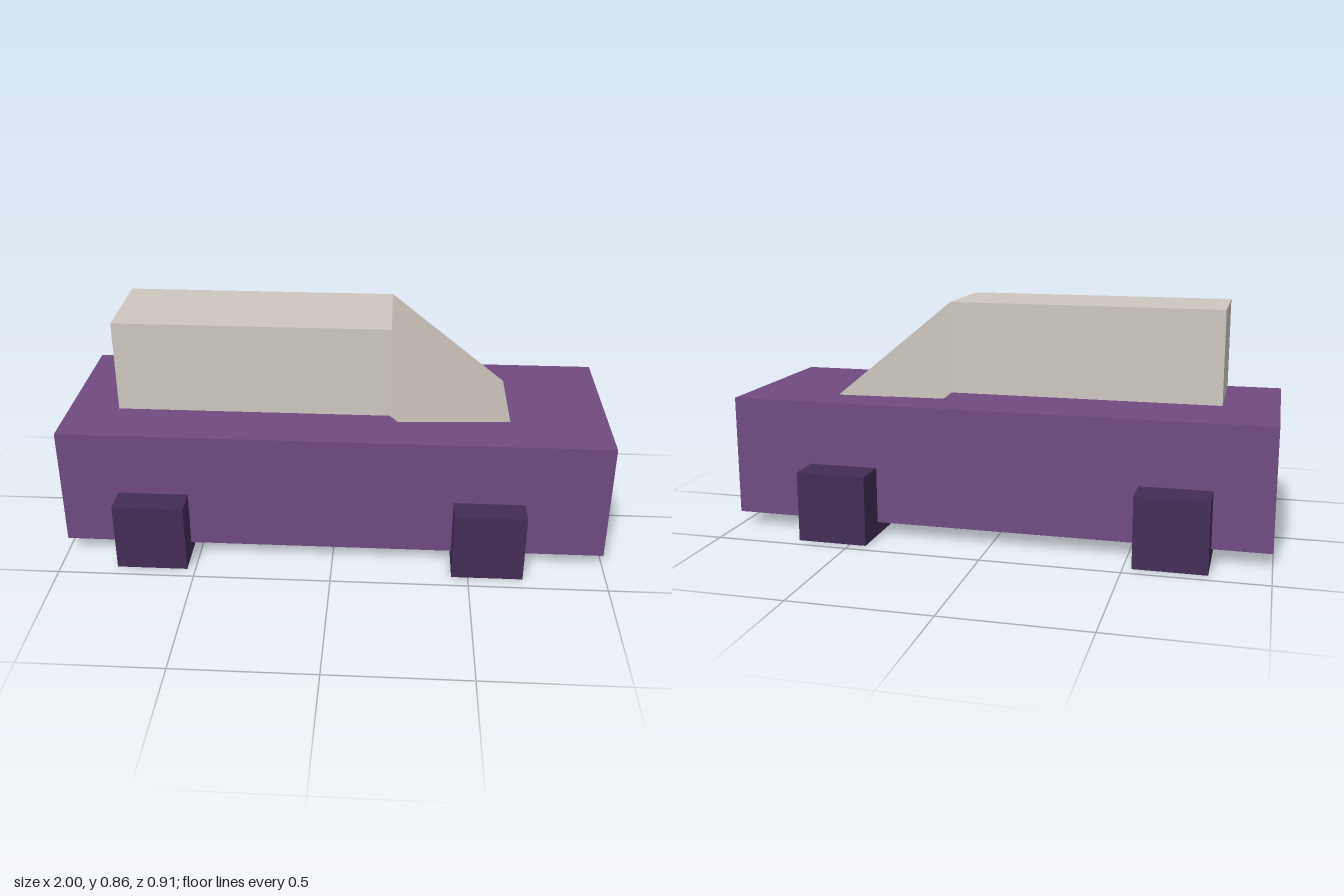
import * as THREE from 'three';

const flat = (name, color) => {
  const m = new THREE.MeshStandardMaterial({ color });
  m.name = name;
  return m;
};

// Box given by its lower and upper corners
function block(name, material, [x0, y0, z0], [x1, y1, z1]) {
  const mesh = new THREE.Mesh(new THREE.BoxGeometry(x1 - x0, y1 - y0, z1 - z0), material);
  mesh.position.set((x0 + x1) / 2, (y0 + y1) / 2, (z0 + z1) / 2);
  mesh.name = name;
  return mesh;
}

export function createModel() {
  const model = new THREE.Group();
  model.name = 'car';
  const purple = flat('purple', 0x704a80);
  const darkPurple = flat('dark purple', 0x422c56);
  const beige = flat('beige', 0xcec7bf);

  model.add(block('body', purple, [-1, 0.05, -0.33], [1, 0.497, 0.355]));

  // Cabin sits slightly above the body
  model.add(block('cabin', beige, [-0.8, 0.522, -0.155], [0.2, 0.862, 0.19]));

  // Sloping windscreen block: sheared down and a little to the right, sinking into the body
  const x0 = 0.2, x1 = 0.7;
  const screen = block('windscreen', beige, [x0, 0.522, -0.155], [x1, 0.862, 0.19]);
  const slope = new THREE.Matrix4().set(
    1, 0, 0, 0,
    -0.825, 1, 0, -0.825 * (x1 - x0) / 2,
    -0.056, 0, 1, -0.056 * (x1 - x0) / 2,
    0, 0, 0, 1
  );
  screen.geometry.applyMatrix4(slope);
  screen.geometry.computeVertexNormals();
  model.add(screen);

  // Square wheels
  const wheels = [
    ['frontLeftWheel', 0.44, 0.19],
    ['frontRightWheel', 0.44, -0.457],
    ['backLeftWheel', -0.79, 0.197],
    ['backRightWheel', -0.79, -0.457],
  ];
  const size = 0.259;
  for (const [name, x, z] of wheels) {
    model.add(block(name, darkPurple, [x, 0, z], [x + size, size, z + size]));
  }
  return model;
}
